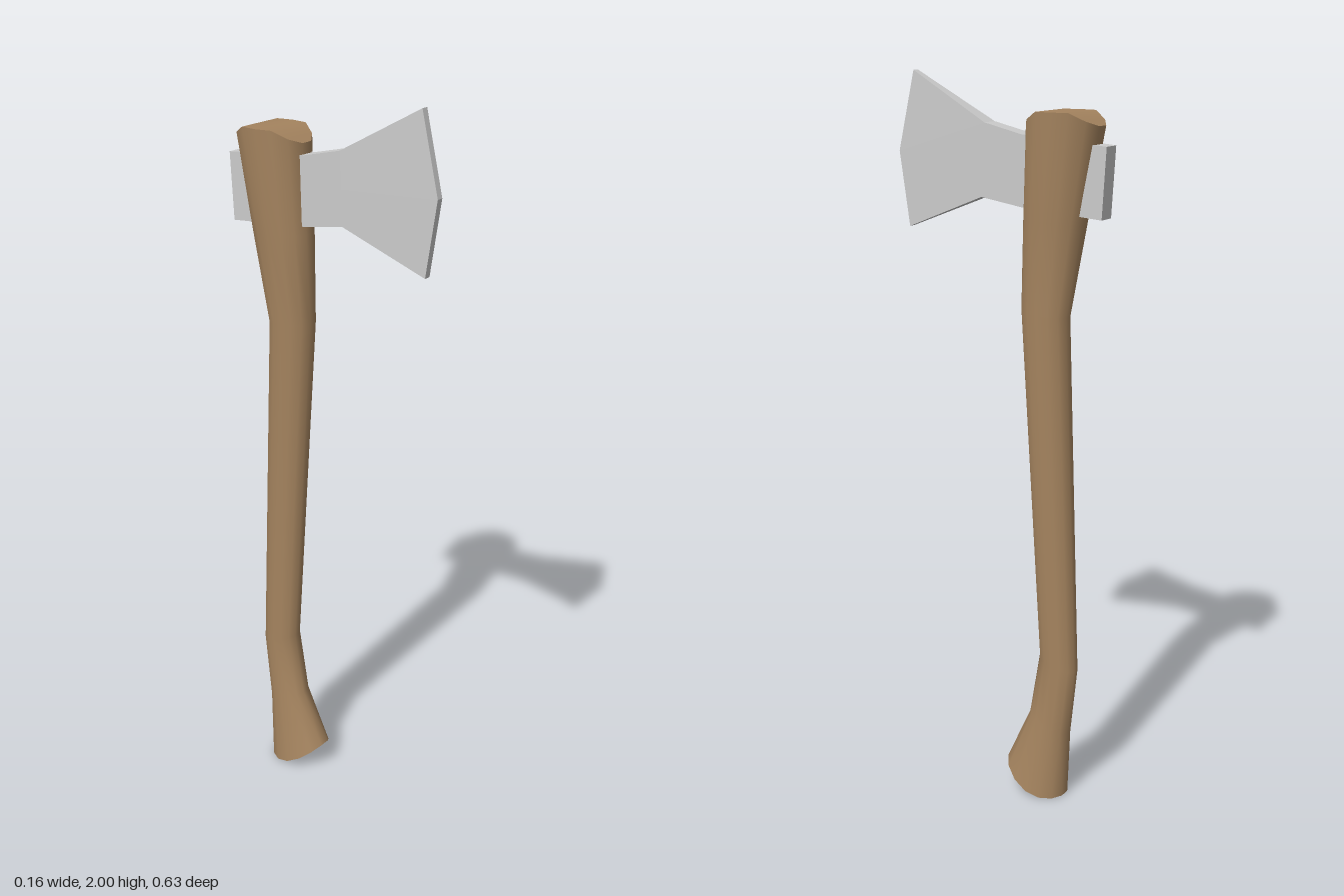
import * as THREE from 'three';

// Skins a row of equal-length rings and closes both ends with strips
// that run between mirrored points (k-1-j and k+j).
function loft(rings, k) {
  const n = rings[0].length, pos = [], idx = [];
  const quad = (a, b, c, d) => idx.push(a, b, c, a, c, d);
  rings.forEach(r => r.forEach(p => pos.push(...p)));
  for (let i = 0; i < rings.length - 1; i++) {
    for (let j = 0; j < n; j++) {
      const a = i * n + j, b = i * n + (j + 1) % n;
      quad(a, a + n, b + n, b);
    }
  }
  [rings[0], rings[rings.length - 1]].forEach((ring, end) => {
    const base = pos.length / 3;
    ring.forEach(p => pos.push(...p));
    const at = i => base + (i + n) % n;
    for (let j = 0; j < n / 2 - 1; j++) {
      const p = at(k - 1 - j), q = at(k + j), p2 = at(k - 2 - j), q2 = at(k + j + 1);
      if (end) quad(p, p2, q2, q);
      else quad(p, q, q2, p2);
    }
  });
  const g = new THREE.BufferGeometry();
  g.setAttribute('position', new THREE.Float32BufferAttribute(pos, 3));
  g.setIndex(idx);
  g.computeVertexNormals();
  return g;
}

export function createModel() {
  const group = new THREE.Group();
  const wood = new THREE.MeshStandardMaterial({ color: 0xa5845f });
  const steel = new THREE.MeshStandardMaterial({ color: 0xcccccc, flatShading: true });

  // Handle: 14-sided oval sections [front z, back z, half width, height rule],
  // where s runs from -1 at the back to 1 at the front
  const sections = [
    [-0.03, -0.21, 0.07, s => 0.015 + 0.04 * s + 0.027 * s * s],
    [-0.10, -0.22, 0.045, s => 0.22 + 0.02 * s],
    [-0.13, -0.24, 0.043, s => 0.41 + 0.015 * s],
    [-0.065, -0.20, 0.05, s => 1.395 + 0.005 * s],
    [-0.072, -0.245, 0.068, () => 1.64],
    [-0.08, -0.29, 0.079, s => 1.91 - 0.06 * Math.max(0, Math.abs(s) - 0.44)],
  ];
  const sides = 14;
  const handleRings = sections.map(([front, back, rx, height]) =>
    Array.from({ length: sides }, (_, i) => {
      const a = i / sides * Math.PI * 2, s = Math.sin(a);
      return [rx * Math.cos(a), height(s), (front + back) / 2 + (front - back) / 1.95 * s];
    }));
  const handle = new THREE.Mesh(loft(handleRings, 4), wood);
  handle.name = 'handle';

  // Axe head: columns of top, middle and bottom points [z, y] with a half thickness,
  // from the poll at the back to the flared cutting edge
  const columns = [
    [[-0.315, 1.83], [-0.31, 1.74], [-0.305, 1.65], 0.025],
    [[-0.07, 1.85], [-0.07, 1.76], [-0.07, 1.667], 0.025],
    [[0.04, 1.875], [0.045, 1.78], [0.05, 1.685], 0.025],
    [[0.27, 2.0], [0.32, 1.79], [0.29, 1.59], 0.01],
  ];
  const headRings = columns.map(([top, mid, bottom, h]) => [
    ...[top, mid, bottom].map(([z, y]) => [h, y, z]),
    ...[bottom, mid, top].map(([z, y]) => [-h, y, z]),
  ]);
  const head = new THREE.Mesh(loft(headRings, 3), steel);
  head.name = 'axeHead';

  group.add(handle, head);
  return group;
}
